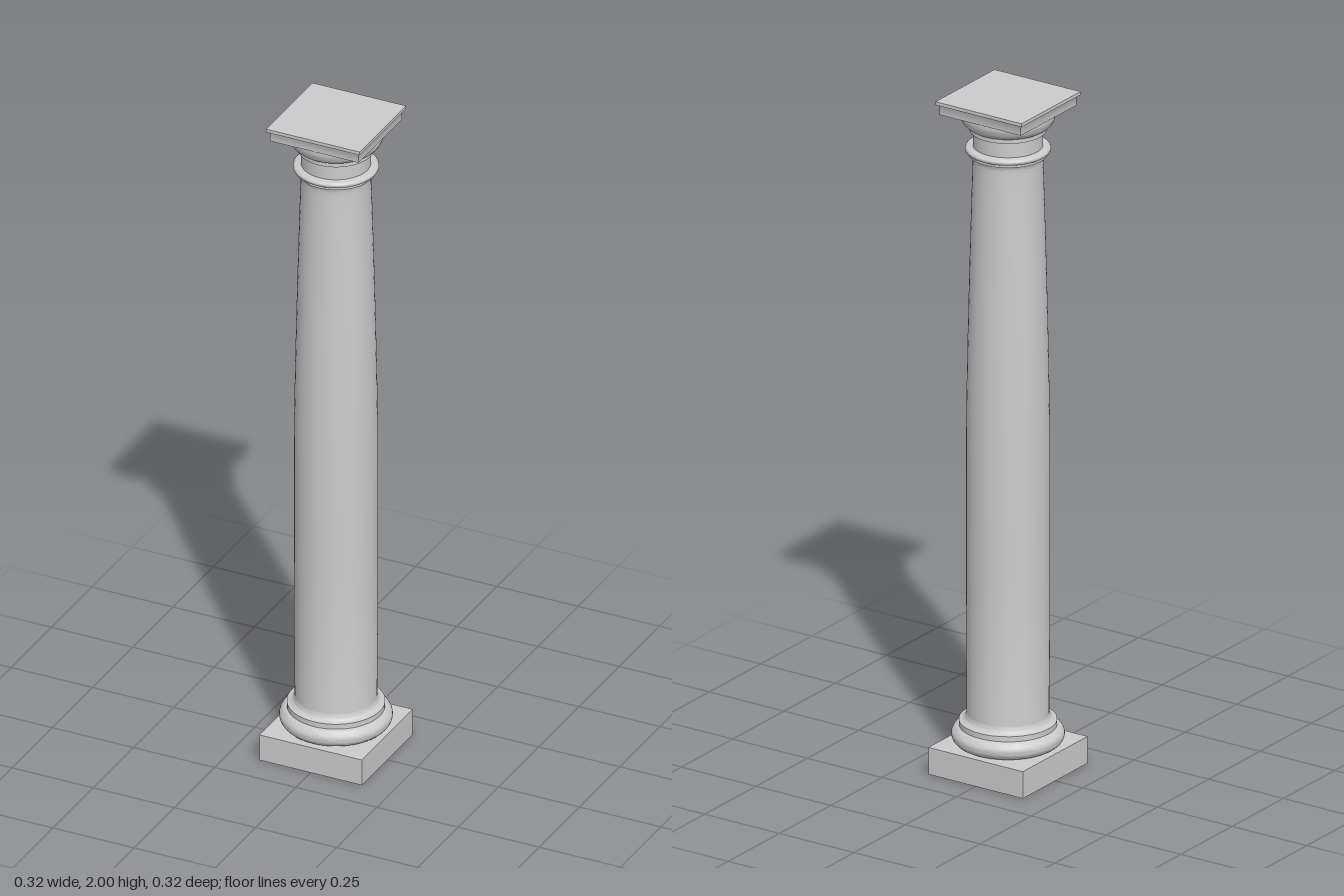
import * as THREE from 'three';
import { toCreasedNormals } from 'three/addons/utils/BufferGeometryUtils.js';

const SIDES = 48;
const material = new THREE.MeshStandardMaterial({ color: 0xcccccc });

// Arc of profile points around (cx, cy), angles in degrees
function arc(cx, cy, rx, ry, from, to, steps = 10) {
  return Array.from({ length: steps + 1 }, (_, i) => {
    const a = THREE.MathUtils.degToRad(from + (to - from) * i / steps);
    return [cx + rx * Math.cos(a), cy + ry * Math.sin(a)];
  });
}

// Turned solid from a bottom-to-top profile, closed on the axis
function turned(name, profile, sides = SIDES, start = 0) {
  const closed = [[0, profile[0][1]], ...profile, [0, profile[profile.length - 1][1]]];
  const points = closed.map(([r, y]) => new THREE.Vector2(r, y));
  const geometry = toCreasedNormals(new THREE.LatheGeometry(points, sides, start), 0.6);
  const mesh = new THREE.Mesh(geometry, material);
  mesh.name = name;
  return mesh;
}

// Square moulding: profile gives half-widths
function square(name, profile) {
  return turned(name, profile.map(([w, y]) => [w * Math.SQRT2, y]), 4, Math.PI / 4);
}

export function createModel() {
  const column = new THREE.Group();
  column.name = 'column';

  // Base: square plinth, torus and fillet
  column.add(square('plinth', [[0.158, 0], [0.158, 0.08]]));
  column.add(turned('baseTorus', arc(0.127, 0.108, 0.03, 0.028, -90, 90, 14)));
  column.add(turned('baseFillet', [[0.136, 0.13], [0.136, 0.15]]));

  // Shaft: flared foot, straight lower part, tapering upper part, flared top
  const taper = Array.from({ length: 13 }, (_, i) => {
    const t = i / 12;
    return [0.116 - 0.018 * Math.pow(t, 1.35), 1.0 + 0.8 * t];
  });
  column.add(turned('shaft', [
    ...arc(0.134, 0.172, 0.019, 0.022, 270, 180, 6),
    [0.116, 0.6],
    ...taper,
    ...arc(0.109, 1.816, 0.011, 0.018, 180, 90, 5),
  ]));

  // Astragal ring and its fillet below the neck
  column.add(turned('astragalFillet', [[0.11, 1.832], [0.11, 1.84]]));
  column.add(turned('astragal', arc(0.108, 1.848, 0.011, 0.009, -90, 90, 8)));

  // Capital: neck, fillet, echinus and abacus
  column.add(turned('neck', [[0.097, 1.85], [0.097, 1.905]]));
  column.add(turned('neckFillet', [[0.106, 1.902], [0.106, 1.914]]));
  column.add(turned('echinus', arc(0.1, 1.958, 0.033, 0.044, -80, 10, 10)));
  column.add(square('abacus', [
    [0.136, 1.96], [0.136, 1.982],
    ...arc(0.144, 1.982, 0.008, 0.008, 180, 90, 4),
    [0.144, 2],
  ]));

  return column;
}
